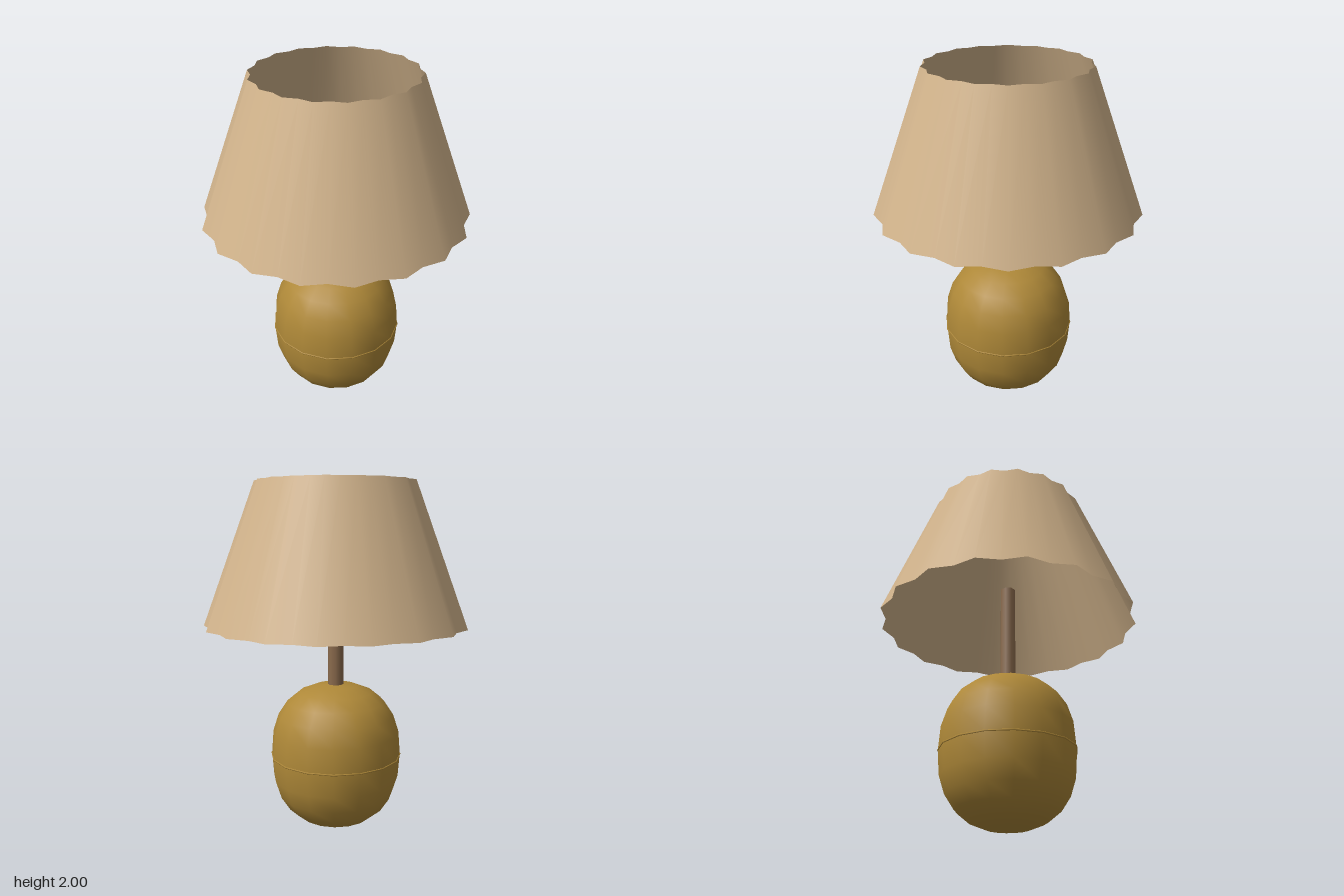
import * as THREE from 'three';

const paint = (name, color, side = THREE.FrontSide) => {
  const m = new THREE.MeshStandardMaterial({ color, side });
  m.name = name;
  return m;
};

export function createModel() {
  const lamp = new THREE.Group();
  lamp.name = 'tableLamp';
  const brass = paint('brass', 0xae8838);
  const wood = paint('brown', 0x8b6b4d);
  const linen = paint('linen', 0xd2b48c, THREE.DoubleSide);

  const add = (name, geometry, material, y = 0) => {
    const mesh = new THREE.Mesh(geometry, material);
    mesh.name = name;
    mesh.position.y = y;
    lamp.add(mesh);
    return mesh;
  };

  // Plump base: a slightly squared oval turned around y
  const profile = [];
  const rings = 12, power = 2 / 2.4;
  for (let i = 0; i <= rings; i++) {
    const a = (i / rings) * Math.PI;
    const c = Math.cos(a);
    const r = i % rings === 0 ? 0 : 0.38 * Math.sin(a) ** power;
    profile.push(new THREE.Vector2(r, 0.43 - 0.425 * Math.sign(c) * Math.abs(c) ** power));
  }
  add('base', new THREE.LatheGeometry(profile, 16), brass);

  // Fine seam around the middle of the base
  add('baseSeam', new THREE.TorusGeometry(0.379, 0.005, 6, 16).rotateX(Math.PI / 2), brass, 0.43);

  // Stem, ending inside the shade
  add('stem', new THREE.CylinderGeometry(0.045, 0.045, 0.62, 8), wood, 1.13);

  // Open pleated shade: every second rib is pulled inwards
  const ribs = 36;
  const shade = new THREE.CylinderGeometry(0.45, 0.75, 0.8, ribs, 1, true);
  const pos = shade.attributes.position;
  for (let i = 0; i < pos.count; i++) {
    const k = (i % (ribs + 1)) % 2 ? 0.953 : 1;
    pos.setXYZ(i, pos.getX(i) * k, pos.getY(i), pos.getZ(i) * k);
  }
  add('shade', shade, linen, 1.6);

  return lamp;
}
